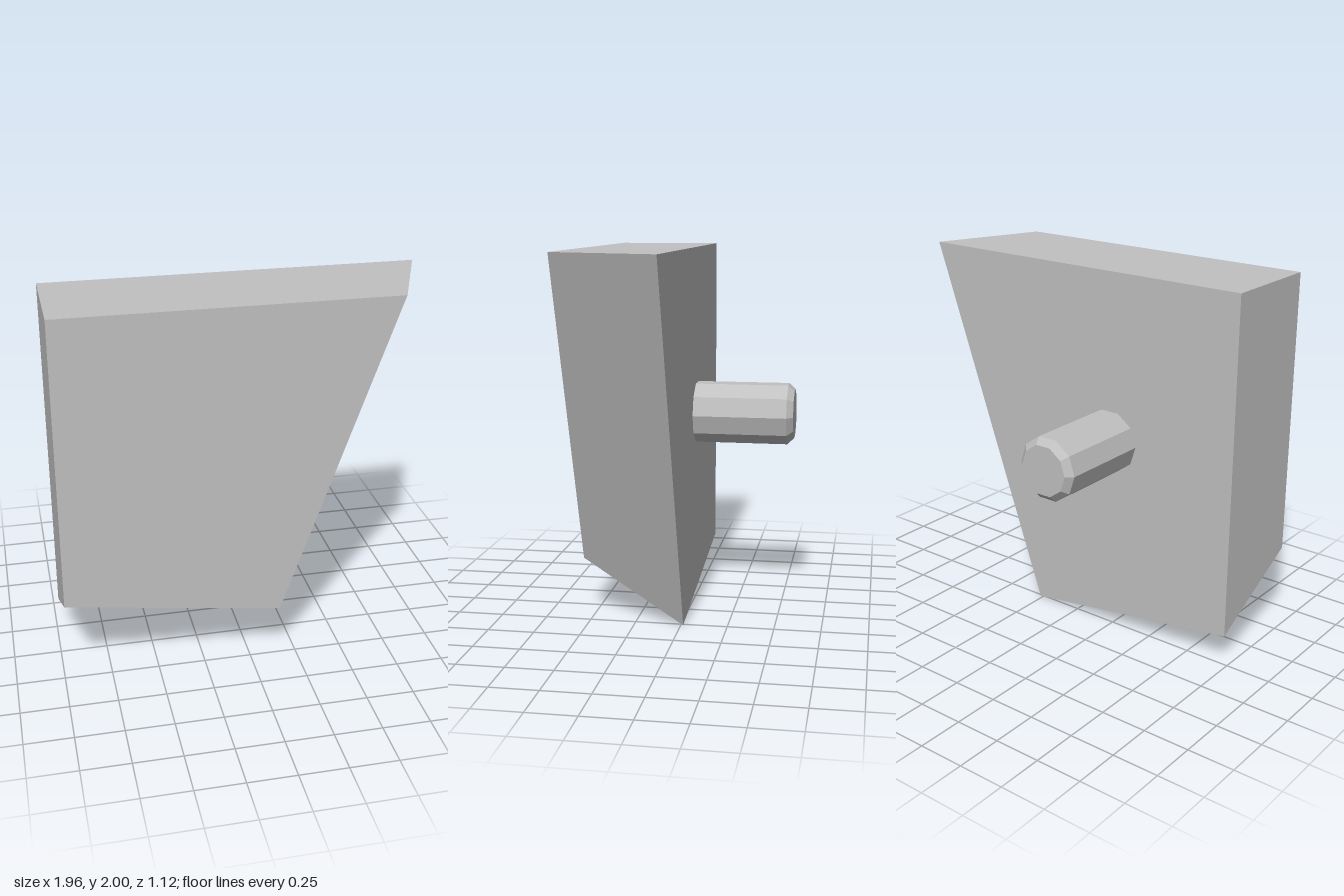
import * as THREE from 'three';

// Joins two matching counter-clockwise outlines into a closed solid with flat faces.
function loft(back, front, zBack, zFront) {
  const pos = [];
  const b = back.map(([x, y]) => [x, y, zBack]);
  const f = front.map(([x, y]) => [x, y, zFront]);
  const quad = (p, q, r, s) => pos.push(...p, ...q, ...r, ...p, ...r, ...s);
  quad(f[0], f[1], f[2], f[3]);
  quad(b[3], b[2], b[1], b[0]);
  for (let i = 0; i < 4; i++) {
    const j = (i + 1) % 4;
    quad(b[i], b[j], f[j], f[i]);
  }
  const geometry = new THREE.BufferGeometry();
  geometry.setAttribute('position', new THREE.Float32BufferAttribute(pos, 3));
  geometry.computeVertexNormals();
  return geometry;
}

export function createModel() {
  const model = new THREE.Group();
  model.name = 'slabWithPeg';

  const grey = new THREE.MeshStandardMaterial({ color: 0xc0c0c0 });
  grey.name = 'light grey';
  grey.flatShading = true;

  // Slab with bevelled bottom and left side
  const slab = new THREE.Mesh(loft(
    [[-0.983, 0.175], [0.265, 0], [0.98, 2], [-0.983, 2]],
    [[-0.983, 0.472], [0.145, 0.315], [0.747, 2], [-0.983, 2]],
    -0.013, 0.56), grey);
  slab.name = 'slab';
  model.add(slab);

  // Ten-sided peg with a chamfered end, pointing backwards
  const r = 0.172, length = 0.547, chamfer = 0.035;
  const profile = [
    [r, 0], [r, length - chamfer], [r - chamfer, length], [0, length],
  ].map(([x, y]) => new THREE.Vector2(x, y));
  const peg = new THREE.Mesh(new THREE.LatheGeometry(profile, 10, Math.PI / 2), grey);
  peg.name = 'peg';
  peg.rotation.x = -Math.PI / 2;
  peg.position.set(-0.223, 1.088, -0.013);
  model.add(peg);

  return model;
}
